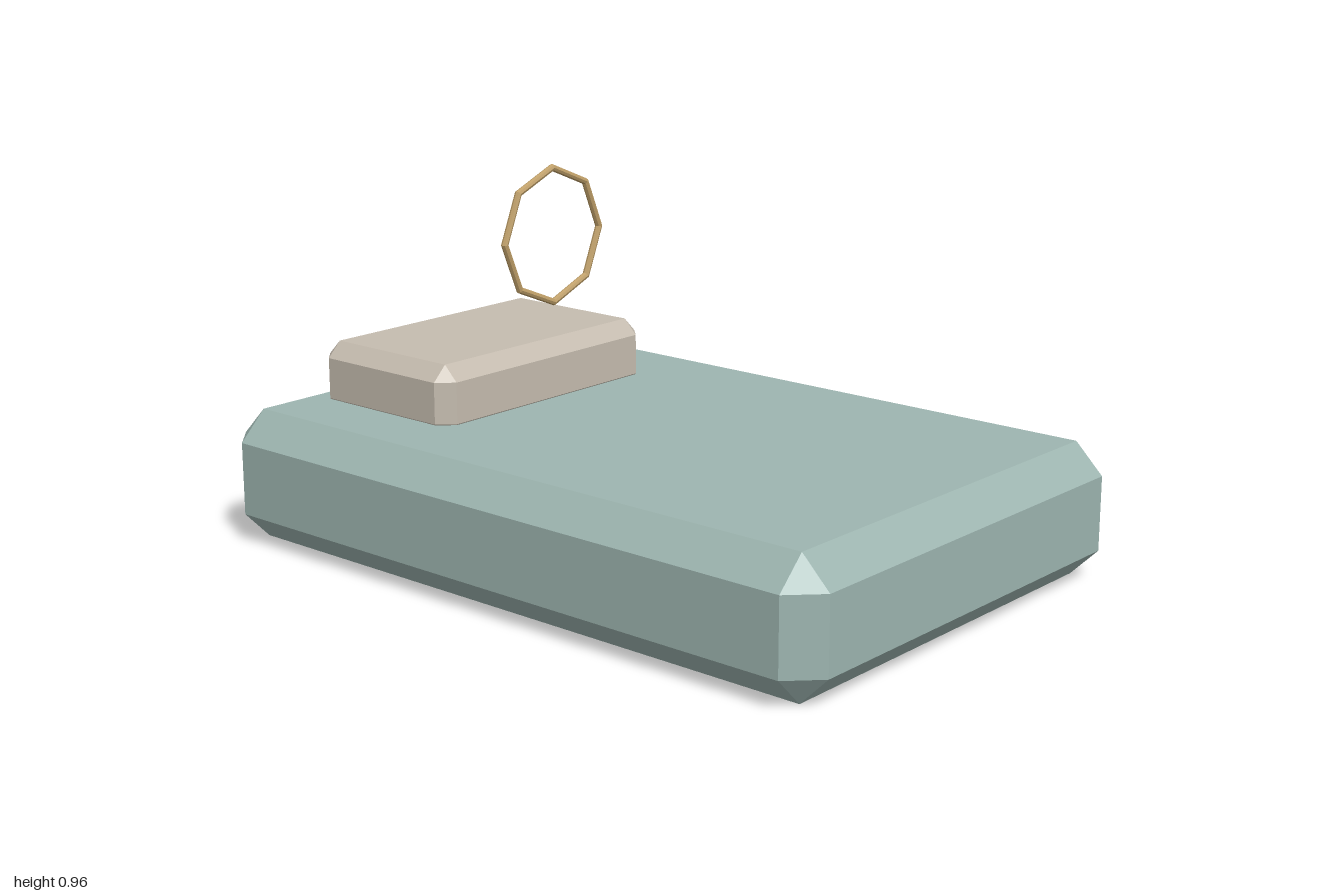
import * as THREE from 'three';
import { ConvexGeometry } from 'three/addons/geometries/ConvexGeometry.js';

// Box with every edge cut at 45 degrees and a triangular facet on each corner
function chamferedBox(width, height, depth, cut) {
  const [x, y, z] = [width / 2, height / 2, depth / 2];
  const points = [];
  for (const sx of [-1, 1]) for (const sy of [-1, 1]) for (const sz of [-1, 1]) {
    points.push(
      new THREE.Vector3(sx * x, sy * (y - cut), sz * (z - cut)),
      new THREE.Vector3(sx * (x - cut), sy * y, sz * (z - cut)),
      new THREE.Vector3(sx * (x - cut), sy * (y - cut), sz * z)
    );
  }
  return new ConvexGeometry(points);
}

function material(name, color) {
  const m = new THREE.MeshStandardMaterial({ color, flatShading: true });
  m.name = name;
  return m;
}

export function createModel() {
  const model = new THREE.Group();
  const add = (name, geometry, mat, x, y, z) => {
    const mesh = new THREE.Mesh(geometry, mat);
    mesh.name = name;
    mesh.position.set(x, y, z);
    model.add(mesh);
  };

  const sage = material('sage', 0x9db5b0);
  const linen = material('linen', 0xc5bcaf);
  const brass = material('brass', 0xbf9f68);

  // Thick mattress slab
  add('mattress', chamferedBox(1.33, 0.362, 2, 0.08), sage, 0, 0.181, 0);
  // Pillow, sunk slightly into the mattress at the back
  add('pillow', chamferedBox(0.8, 0.198, 0.5, 0.042), linen, 0, 0.422, -0.65);
  // Eight-sided ring floating upright above the pillow
  add('ring', new THREE.TorusGeometry(0.196, 0.0105, 8, 8), brass, 0.26, 0.755, -0.63);

  return model;
}
